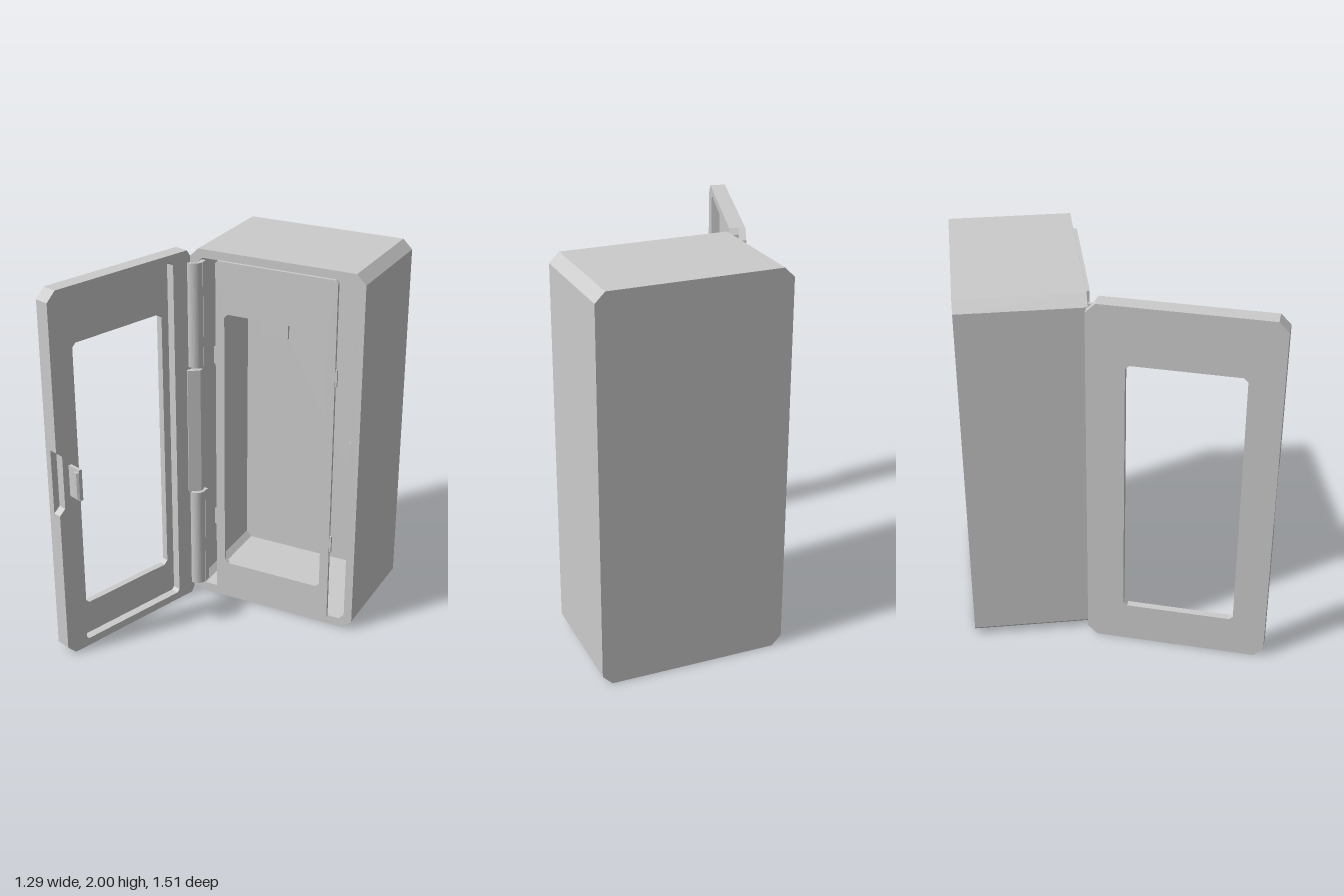
import * as THREE from 'three';

const grey = new THREE.MeshStandardMaterial({ color: 0xcccccc, flatShading: true });

function add(parent, name, geometry) {
  const mesh = new THREE.Mesh(geometry, grey);
  mesh.name = name;
  parent.add(mesh);
  return mesh;
}

const poly = (pts) => new THREE.Shape(pts.map(([x, y]) => new THREE.Vector2(x, y)));

// corner points of a rectangle with cut corners, counter-clockwise
const cutRect = (x0, x1, y0, y1, c) => [
  [x0 + c, y0], [x1 - c, y0], [x1, y0 + c], [x1, y1 - c],
  [x1 - c, y1], [x0 + c, y1], [x0, y1 - c], [x0, y0 + c],
];

// plate lying in x/y, from z0 to z1, with an optional hole
function plate(parent, name, outline, hole, z0, z1) {
  const shape = poly(outline);
  if (hole) shape.holes.push(poly(hole));
  const g = new THREE.ExtrudeGeometry(shape, { depth: z1 - z0, bevelEnabled: false });
  return add(parent, name, g.translate(0, 0, z0));
}

// plan profile, drawn in (x, -z), raised from y0 to y1
function column(parent, name, shape, y0, y1) {
  const g = new THREE.ExtrudeGeometry(shape, { depth: y1 - y0, bevelEnabled: false, curveSegments: 10 });
  return add(parent, name, g.rotateX(-Math.PI / 2).translate(0, y0, 0));
}

function box(parent, name, x0, x1, y0, y1, z0, z1) {
  const g = new THREE.BoxGeometry(x1 - x0, y1 - y0, z1 - z0);
  return add(parent, name, g.translate((x0 + x1) / 2, (y0 + y1) / 2, (z0 + z1) / 2));
}

// C-shaped hinge band around the pivot
function hingeBand(inner, outer) {
  const s = new THREE.Shape();
  s.absarc(-0.285, 0.135, outer, Math.PI * 1.05, Math.PI * 1.98, false);
  s.absarc(-0.285, 0.135, inner, Math.PI * 1.98, Math.PI * 1.05, true);
  return s;
}

function createCase() {
  const body = new THREE.Group();
  body.name = 'caseBody';
  const outline = cutRect(-0.315, 0.645, 0, 2, 0.05);
  plate(body, 'caseWalls', outline, cutRect(-0.27, 0.6, 0.05, 1.955, 0.03), -0.72, -0.14);
  plate(body, 'caseBack', outline, null, -0.76, -0.72);
  box(body, 'latchCatch', 0.582, 0.602, 0.92, 1.09, -0.2, -0.165);
  return body;
}

function createPanel() {
  const panel = new THREE.Group();
  panel.name = 'innerPanel';
  // window with a tab hanging from its top edge
  const c = 0.02;
  const hole = cutRect(-0.105, 0.46, 0.23, 1.685, c);
  hole.splice(5, 0, [0.25, 1.685], [0.25, 1.612], [0.1, 1.612], [0.1, 1.685]);
  plate(panel, 'panelFrame', cutRect(-0.155, 0.51, 0.042, 1.96, 0.012), hole, -0.132, -0.116);
  for (const y of [0.46, 1.405]) {
    box(panel, 'panelTabRight', -0.165, -0.153, y, y + 0.092, -0.13, -0.118);
    box(panel, 'panelTabLeft', 0.508, 0.52, y, y + 0.092, -0.13, -0.118);
  }
  return panel;
}

// local x runs from hinge to free edge, local -z points to the inner face
function createDoor() {
  const door = new THREE.Group();
  door.name = 'door';
  const w = 0.936;
  const outer = cutRect(0, w, 0, 2, 0.05);
  plate(door, 'doorOuterFrame', outer, cutRect(0.19, 0.767, 0.225, 1.69, 0.02), -0.035, 0);

  // inner rim with the finger notch in its free edge
  const rim = cutRect(0.03, w, 0, 2, 0.05);
  rim[0][0] = 0.05;
  rim[5][0] = 0.05;
  rim[6][1] = 1.97;
  rim[7][1] = 0.03;
  rim.splice(3, 0, [w, 0.83], [w - 0.035, 0.86], [w - 0.035, 1.15], [w, 1.18]);
  plate(door, 'doorInnerRim', rim, cutRect(0.145, 0.81, 0.042, 1.96, 0.015), -0.08, -0.035);

  // hooked latch near the free edge
  const arm = poly([[0.848, 0.07], [0.865, 0.07], [0.865, 0.161], [0.848, 0.161]]);
  column(door, 'latchArm', arm, 0.92, 1.09);
  const hook = poly([[0.86, 0.12], [0.872, 0.128], [0.88, 0.14], [0.878, 0.153], [0.868, 0.161], [0.86, 0.161]]);
  column(door, 'latchHook', hook, 0.93, 1.075);

  door.position.set(-0.36, 0, -0.16);
  door.rotation.y = THREE.MathUtils.degToRad(-108);
  return door;
}

function createHinge() {
  const hinge = new THREE.Group();
  hinge.name = 'hinge';
  for (const [y0, y1] of [[0.065, 0.635], [1.37, 1.935]]) {
    column(hinge, 'hingeEndBand', hingeBand(0.033, 0.05), y0, y1);
    box(hinge, 'hingeFoot', -0.272, -0.235, y0, y1, -0.17, -0.136);
  }
  // middle leaf folds round the pivot
  const leaf = poly([
    [-0.325, 0.1], [-0.295, 0.066], [-0.24, 0.105], [-0.24, 0.13],
    [-0.252, 0.13], [-0.262, 0.11], [-0.285, 0.1], [-0.312, 0.115],
  ]);
  column(hinge, 'hingeMiddleLeaf', leaf, 0.65, 1.355);
  return hinge;
}

export function createModel() {
  const model = new THREE.Group();
  model.name = 'openCabinet';
  model.add(createCase(), createPanel(), createDoor(), createHinge());
  return model;
}
